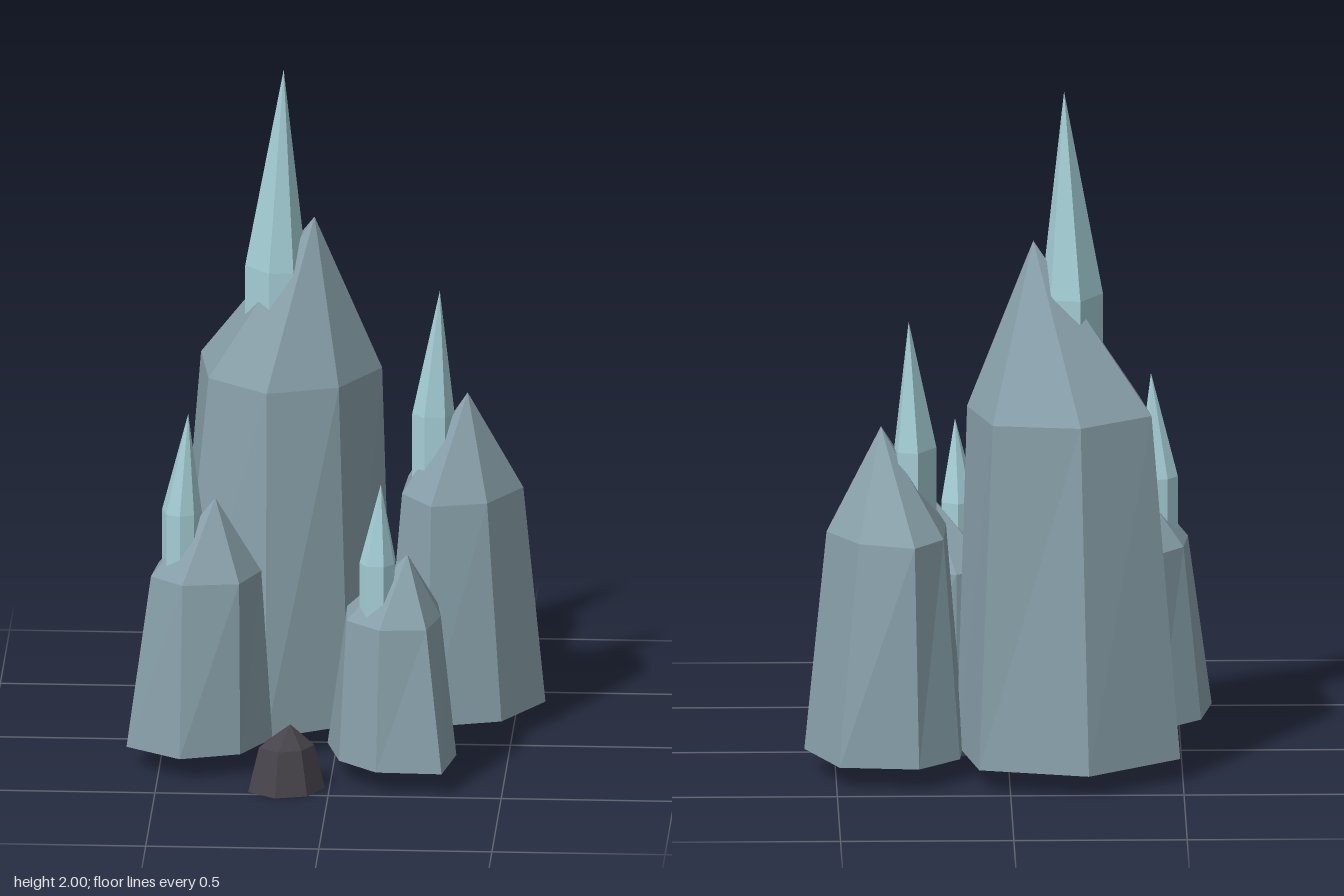
import * as THREE from 'three';

const flat = (name, color) => {
  const m = new THREE.MeshStandardMaterial({ color, flatShading: true });
  m.name = name;
  return m;
};

// Faceted crystal: a foot ring at y0, a shoulder ring at y1 and a pointed tip.
// Rings are [x, z] corners, running left, back, right, front.
function crystal(name, material, foot, y0, shoulder, y1, tip) {
  const pos = [];
  const n = foot.length;
  const at = ([x, z], y) => [x, y, z];
  const mid = [0, 1].map(k => foot.reduce((s, p) => s + p[k], 0) / n);
  const tri = (...corners) => corners.forEach(c => pos.push(...c));
  for (let i = 0; i < n; i++) {
    const j = (i + 1) % n;
    const a = at(foot[i], y0), b = at(foot[j], y0);
    const c = at(shoulder[i], y1), d = at(shoulder[j], y1);
    tri(b, a, c);
    tri(b, c, d);
    tri(d, c, tip);
    tri(at(mid, y0), a, b);
  }
  const g = new THREE.BufferGeometry();
  g.setAttribute('position', new THREE.Float32BufferAttribute(pos, 3));
  g.computeVertexNormals();
  const mesh = new THREE.Mesh(g, material);
  mesh.name = name;
  return mesh;
}

// Shrinks a ring towards its own centre
function shrink(ring, s) {
  const c = [0, 1].map(k => ring.reduce((t, p) => t + p[k], 0) / ring.length);
  return ring.map(p => p.map((v, k) => c[k] + (v - c[k]) * s));
}

const FOOT = 0.066;

// Large tapering crystals
const crystals = [
  { name: 'tallCrystal', y: 1.08, tip: [-0.072, 1.555, -0.117],
    foot: [[-0.225, -0.538], [0.09, -0.46], [0.15, -0.17], [0.035, 0.046], [-0.197, 0.18], [-0.473, -0.015], [-0.492, -0.344]],
    ring: [[-0.203, -0.446], [0.05, -0.41], [0.12, -0.18], [0.005, 0.015], [-0.2, 0.085], [-0.375, -0.055], [-0.41, -0.306]] },
  { name: 'backCrystal', y: 0.715, tip: [0.368, 1.015, -0.162],
    foot: [[0.263, -0.449], [0.492, -0.424], [0.59, -0.21], [0.473, -0.017], [0.263, 0.046], [0.127, -0.119], [0.143, -0.335]],
    ring: [[0.275, -0.412], [0.435, -0.357], [0.526, -0.21], [0.43, -0.05], [0.27, -0.01], [0.18, -0.13], [0.19, -0.31]] },
  { name: 'sideCrystal', y: 0.575, tip: [-0.341, 0.805, 0.214],
    foot: [[-0.438, 0.02], [-0.298, 0.056], [-0.178, 0.178], [-0.263, 0.33], [-0.435, 0.386], [-0.594, 0.277], [-0.56, 0.095]]
      .map(([x, z], i) => [x, i ? z : -0.02]),
    ring: [[-0.43, 0.03], [-0.3, 0.07], [-0.21, 0.18], [-0.267, 0.31], [-0.43, 0.335], [-0.525, 0.25], [-0.51, 0.12]] },
  { name: 'frontCrystal', y: 0.485, tip: [0.22, 0.68, 0.33],
    foot: [[-0.017, 0.208], [0.143, 0.13], [0.324, 0.12], [0.36, 0.303], [0.327, 0.487], [0.137, 0.48], [0.025, 0.375]],
    ring: [[0.04, 0.22], [0.145, 0.157], [0.3, 0.18], [0.315, 0.3], [0.28, 0.435], [0.145, 0.447], [0.045, 0.355]] },
];

// Slender bright shards growing out of the crystal shoulders
const shards = [
  { name: 'tallShard', y0: 1.1, y: 1.4, tip: [-0.161, 2, -0.115],
    ring: [[-0.273, -0.13], [-0.206, -0.225], [-0.12, -0.21], [-0.095, -0.125], [-0.13, -0.06], [-0.2, -0.05]] },
  { name: 'backShard', y0: 0.72, y: 0.95, tip: [0.288, 1.325, -0.152],
    ring: [[0.208, -0.157], [0.263, -0.23], [0.32, -0.22], [0.33, -0.165], [0.305, -0.12], [0.245, -0.115]] },
  { name: 'sideShard', y0: 0.56, y: 0.765, tip: [-0.418, 1.065, 0.235],
    ring: [[-0.495, 0.2], [-0.465, 0.165], [-0.41, 0.155], [-0.38, 0.215], [-0.4, 0.26], [-0.44, 0.275], [-0.48, 0.26]] },
  { name: 'frontShard', y0: 0.46, y: 0.66, tip: [0.145, 0.9, 0.355],
    ring: [[0.083, 0.35], [0.1, 0.31], [0.137, 0.287], [0.185, 0.315], [0.183, 0.36], [0.155, 0.395], [0.105, 0.39]] },
];

// Small dark stones on the ground
const stones = [
  { name: 'frontStone', y: 0.13, tip: [-0.112, 0.195, 0.44],
    foot: [[-0.232, 0.478], [-0.206, 0.383], [-0.146, 0.345], [-0.057, 0.335], [-0.013, 0.424], [-0.06, 0.51], [-0.152, 0.535]] },
  { name: 'innerStone', y: 0.12, tip: [0.165, 0.175, 0.01],
    foot: [[0.092, 0.05], [0.1, -0.03], [0.159, -0.08], [0.222, -0.053], [0.25, 0.027], [0.222, 0.07], [0.155, 0.097]] },
];

export function createModel() {
  const group = new THREE.Group();
  group.name = 'crystalCluster';
  const crystalMat = flat('slate blue crystal', 0x88a0aa);
  const shardMat = flat('pale ice shard', 0xa5cfd6);
  const stoneMat = flat('dark stone', 0x47434b);

  for (const c of crystals) group.add(crystal(c.name, crystalMat, c.foot, FOOT, c.ring, c.y, c.tip));
  for (const s of shards) group.add(crystal(s.name, shardMat, s.ring, s.y0, s.ring, s.y, s.tip));
  for (const s of stones) group.add(crystal(s.name, stoneMat, s.foot, 0, shrink(s.foot, 0.72), s.y, s.tip));
  return group;
}
